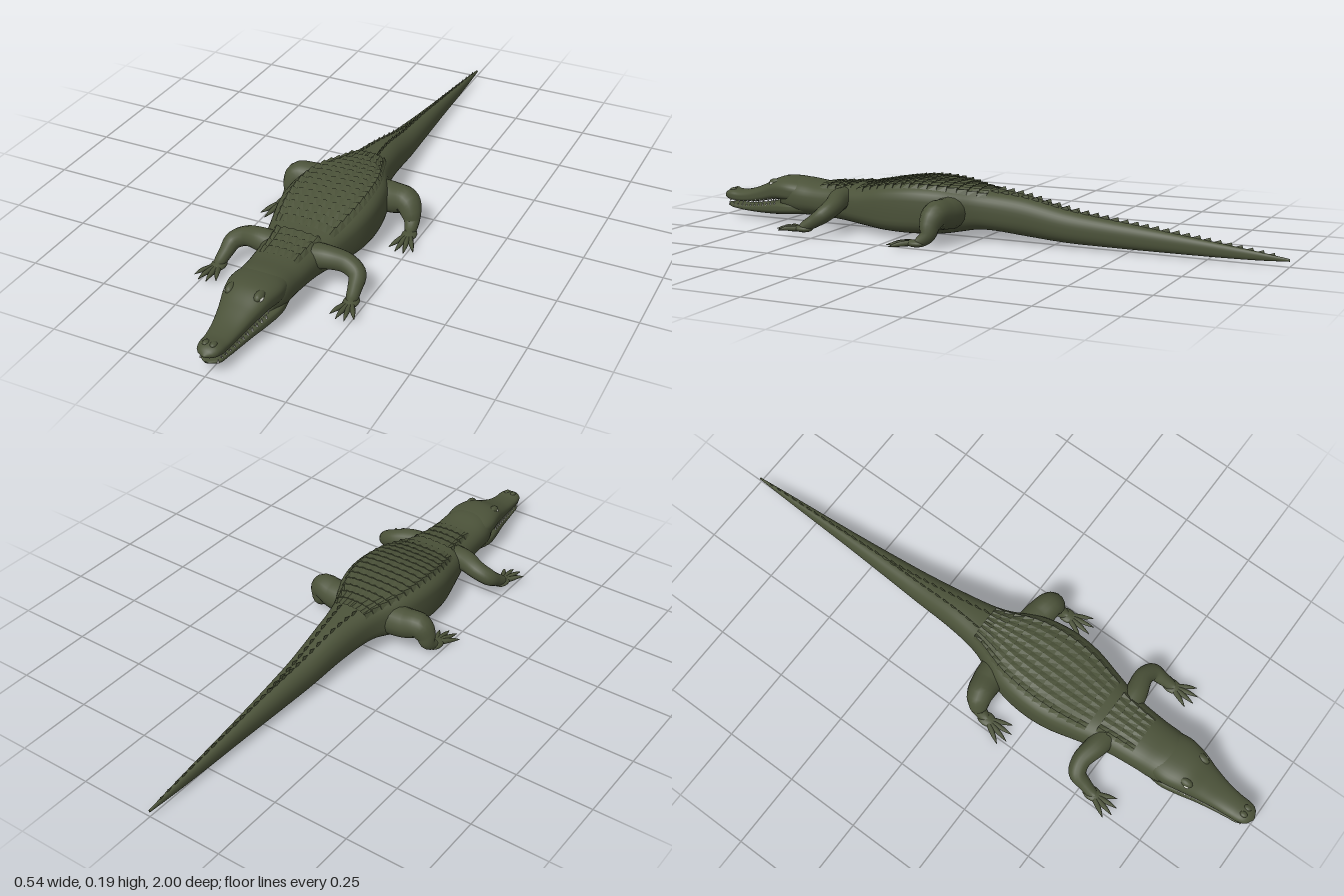
import * as THREE from 'three';

const skin = new THREE.MeshStandardMaterial({ color: 0x4b5239 });
const plated = new THREE.MeshStandardMaterial({ color: 0x4b5239, flatShading: true, side: THREE.DoubleSide });
const pale = new THREE.MeshStandardMaterial({ color: 0xd8d8d0 });

// Stations: z, half width, bottom y, top y, top squareness, bottom squareness
const BODY = [
  [-1, 0.003, 0.018, 0.026, 2, 2],
  [-0.9, 0.009, 0.013, 0.04, 2.2, 2.4],
  [-0.6, 0.025, 0.01, 0.077, 2.2, 2.6],
  [-0.4, 0.039, 0.011, 0.102, 2.2, 2.6],
  [-0.3, 0.047, 0.013, 0.117, 2.2, 2.6],
  [-0.15, 0.06, 0.024, 0.15, 2.4, 2.6],
  [-0.05, 0.075, 0.034, 0.163, 2.6, 3],
  [0, 0.09, 0.034, 0.169, 2.8, 3],
  [0.05, 0.114, 0.026, 0.175, 3.2, 3.2],
  [0.1, 0.135, 0.018, 0.18, 3.6, 3.6],
  [0.2, 0.152, 0.013, 0.183, 3.8, 4],
  [0.3, 0.148, 0.014, 0.174, 3.6, 4],
  [0.4, 0.125, 0.02, 0.157, 3, 3.4],
  [0.5, 0.1, 0.026, 0.148, 2.6, 2.8],
  [0.6, 0.09, 0.03, 0.146, 2.4, 2.5],
  [0.69, 0.083, 0.029, 0.153, 2.3, 2.4],
  [0.74, 0.062, 0.038, 0.135, 2.2, 2.4],
];
const UPPER_JAW = [
  [0.62, 0.072, 0.066, 0.142, 2.2, 3],
  [0.7, 0.084, 0.076, 0.155, 2.2, 4],
  [0.76, 0.074, 0.077, 0.152, 2.2, 4],
  [0.82, 0.058, 0.066, 0.125, 2.2, 4],
  [0.88, 0.046, 0.057, 0.102, 2.2, 4],
  [0.93, 0.04, 0.054, 0.093, 2.2, 4],
  [0.97, 0.036, 0.056, 0.094, 2.2, 3],
  [0.99, 0.025, 0.06, 0.086, 2, 2],
  [1, 0.005, 0.067, 0.074, 2, 2],
];
const LOWER_JAW = [
  [0.62, 0.07, 0.034, 0.08, 4, 2.4],
  [0.7, 0.082, 0.027, 0.074, 4, 2.4],
  [0.76, 0.071, 0.022, 0.068, 4, 2.4],
  [0.82, 0.055, 0.02, 0.057, 4, 2.4],
  [0.88, 0.043, 0.021, 0.047, 4, 2.4],
  [0.93, 0.036, 0.025, 0.044, 4, 2.4],
  [0.97, 0.029, 0.031, 0.046, 4, 2.2],
  [0.988, 0.008, 0.039, 0.045, 2, 2],
];

// Smooth interpolation between stations
function profile(rows) {
  const f = new THREE.CubicInterpolant(rows.map(r => r[0]), rows.flatMap(r => r.slice(1)), 5);
  return z => { const [w, b, t, nt, nb] = f.evaluate(z); return { w, b, t, nt, nb }; };
}
const bodyAt = profile(BODY);

// Height of the back above a point
function backY(z, x) {
  const { w, b, t, nt } = bodyAt(z);
  return (b + t) / 2 + (t - b) / 2 * Math.pow(Math.max(0, 1 - Math.pow(Math.abs(x / w), nt)), 1 / nt);
}

function geometryFrom(positions, index) {
  const g = new THREE.BufferGeometry();
  g.setAttribute('position', new THREE.Float32BufferAttribute(positions, 3));
  g.setIndex(index);
  g.computeVertexNormals();
  return g;
}

// Closed skin through rounded cross-sections along z
function loft(rows, steps, seg = 40) {
  const at = profile(rows), z0 = rows[0][0], z1 = rows[rows.length - 1][0], p = [], idx = [];
  for (let i = 0; i <= steps; i++) {
    const z = THREE.MathUtils.lerp(z0, z1, i / steps), { w, b, t, nt, nb } = at(z);
    for (let j = 0; j < seg; j++) {
      const a = j / seg * Math.PI * 2, c = Math.cos(a), s = Math.sin(a), e = 2 / (s >= 0 ? nt : nb);
      p.push(w * Math.sign(c) * Math.abs(c) ** e, (b + t) / 2 + (t - b) / 2 * Math.sign(s) * Math.abs(s) ** e, z);
      if (i < steps) {
        const k = i * seg + j, l = i * seg + (j + 1) % seg;
        idx.push(k, l, k + seg, l, l + seg, k + seg);
      }
    }
  }
  for (const [ring, z, flip] of [[0, z0, true], [steps, z1, false]]) {
    const { b, t } = at(z), c = p.length / 3;
    p.push(0, (b + t) / 2, z);
    for (let j = 0; j < seg; j++) {
      const k = ring * seg + j, l = ring * seg + (j + 1) % seg;
      idx.push(c, flip ? l : k, flip ? k : l);
    }
  }
  return geometryFrom(p, idx);
}

// Tube with a radius at every point: [x, y, z, r]
function taperedTube(pts, side, steps, seg) {
  const path = new THREE.CatmullRomCurve3(pts.map(q => new THREE.Vector3(q[0] * side, q[1], q[2])));
  const radii = new THREE.CatmullRomCurve3(pts.map((q, i) => new THREE.Vector3(q[3], i, 0)));
  const g = new THREE.TubeGeometry(path, steps, 1, seg), pos = g.attributes.position, v = new THREE.Vector3();
  for (let i = 0; i < pos.count; i++) {
    const u = Math.floor(i / (seg + 1)) / steps, c = path.getPointAt(u);
    v.fromBufferAttribute(pos, i).sub(c).multiplyScalar(Math.max(0.0005, radii.getPoint(path.getUtoTmapping(u)).x)).add(c);
    pos.setXYZ(i, v.x, v.y, v.z);
  }
  return g;
}

// Overlapping keeled plates that follow the back
function scutes(z0, z1, rows, cols, edge, lift) {
  const p = [], idx = [], n = cols * 2 + 1;
  for (let r = 0; r < rows; r++) for (const end of [0, 1]) {
    const z = THREE.MathUtils.lerp(z1, z0, (r + end) / rows), w = bodyAt(z).w * edge;
    for (let j = 0; j < n; j++) {
      const u = j / (n - 1) * 2 - 1, keel = j % 2 ? 1 : 0.25, rim = j === 1 || j === n - 2 ? 1.7 : 1;
      const up = j === 0 || j === n - 1 ? -0.002 : 0.001 + lift * keel * rim * (0.3 + 0.7 * end);
      p.push(u * w, backY(z, u * w) + up, z);
    }
  }
  for (let i = 0; i < rows * 2 - 1; i++) for (let j = 0; j < n - 1; j++) {
    const k = i * n + j;
    idx.push(k, k + 1, k + n, k + 1, k + n + 1, k + n);
  }
  return geometryFrom(p, idx);
}

export function createModel() {
  const model = new THREE.Group();
  const add = (name, geometry, material = skin, parent = model) => {
    const m = new THREE.Mesh(geometry, material);
    m.name = name;
    parent.add(m);
    return m;
  };
  const group = name => { const g = new THREE.Group(); g.name = name; model.add(g); return g; };

  add('bodyAndTail', loft(BODY, 110));
  add('upperJaw', loft(UPPER_JAW, 40));
  add('lowerJaw', loft(LOWER_JAW, 40));
  add('backShield', scutes(-0.04, 0.42, 15, 8, 0.86, 0.006), plated);
  add('neckShield', scutes(0.45, 0.58, 4, 6, 0.75, 0.006), plated);

  // Tail crest: two rows that merge into one
  const crest = group('tailCrest'), spike = new THREE.ConeGeometry(0.02, 0.02, 4);
  for (let z = -0.06; z > -0.98; z -= 0.033) {
    const spread = Math.max(0, 0.45 * (1 + z / 0.5)), size = 0.55 + 0.45 * Math.min(1, (1 + z) * 3);
    for (const s of spread > 0.03 ? [-1, 1] : [0]) {
      const x = s * spread * bodyAt(z).w, plate = add('crestPlate', spike, plated, crest);
      plate.position.set(x, backY(z, x) + 0.003 * size, z);
      plate.scale.set(0.2 * size, size, size);
      plate.rotation.x = -0.45;
    }
  }

  // Legs: limb path, foot centre and toe reach
  const legs = [
    { name: 'frontLeg', foot: [0.222, 0.025, 0.545], reach: 0.095, lift: 0.021,
      limb: [[0.05, 0.1, 0.48, 0.045], [0.11, 0.107, 0.475, 0.037], [0.17, 0.095, 0.463, 0.031], [0.208, 0.075, 0.475, 0.028],
        [0.217, 0.05, 0.51, 0.022], [0.222, 0.03, 0.545, 0.017], [0.224, 0.025, 0.565, 0.002]] },
    { name: 'hindLeg', foot: [0.222, 0.013, 0.13], reach: 0.1, lift: 0.004,
      limb: [[0.07, 0.095, 0.07, 0.055], [0.14, 0.097, 0.072, 0.05], [0.19, 0.1, 0.08, 0.043], [0.208, 0.07, 0.088, 0.034],
        [0.214, 0.04, 0.092, 0.025], [0.22, 0.018, 0.12, 0.017], [0.223, 0.014, 0.145, 0.002]] },
  ];
  for (const side of [-1, 1]) for (const { name, limb, foot: [fx, fy, fz], reach, lift } of legs) {
    const leg = group((side > 0 ? 'left ' : 'right ') + name);
    add('limb', taperedTube(limb, side, 32, 16), skin, leg);
    const sole = add('foot', new THREE.SphereGeometry(1, 16, 10), skin, leg);
    sole.position.set(side * fx, fy, fz);
    sole.scale.set(0.024, 0.012, 0.034);
    for (const a of [-0.42, -0.08, 0.22, 0.55]) {
      const far = reach * (1 - Math.abs(a - 0.1) * 0.28);
      const along = (d, y, r) => [fx + Math.sin(a) * d, y, fz + Math.cos(a) * d, r];
      add('toe', taperedTube([along(0, fy, 0.009), along(far * 0.4, fy, 0.009),
        along(far * 0.72, lift + 0.005, 0.0065), along(far, lift, 0.0008)], side, 10, 8), skin, leg);
    }
  }

  // Eyes under low brows, nostril bump and teeth along both jaws
  const ball = new THREE.SphereGeometry(1, 14, 10), tooth = new THREE.ConeGeometry(0.0035, 0.014, 6);
  const upperAt = profile(UPPER_JAW), lowerAt = profile(LOWER_JAW), teeth = group('teeth');
  for (const side of [-1, 1]) {
    const brow = add('brow', ball);
    brow.position.set(side * 0.046, 0.133, 0.765);
    brow.scale.set(0.015, 0.016, 0.026);
    const eye = add('eye', ball, pale);
    eye.position.set(side * 0.056, 0.131, 0.773);
    eye.scale.set(0.006, 0.007, 0.011);
    const nostril = add('nostril', ball);
    nostril.position.set(side * 0.012, 0.091, 0.965);
    nostril.scale.set(0.01, 0.007, 0.013);
    for (let i = 0; i < 12; i++) {
      const z = 0.755 + i * 0.019, u = upperAt(z), l = lowerAt(z);
      const top = add('upperTooth', tooth, pale, teeth);
      top.position.set(side * u.w * 0.87, u.b + 0.001, z);
      top.rotation.x = Math.PI;
      add('lowerTooth', tooth, pale, teeth).position.set(side * l.w * 0.87, l.t - 0.001, z + 0.008);
    }
  }
  return model;
}
